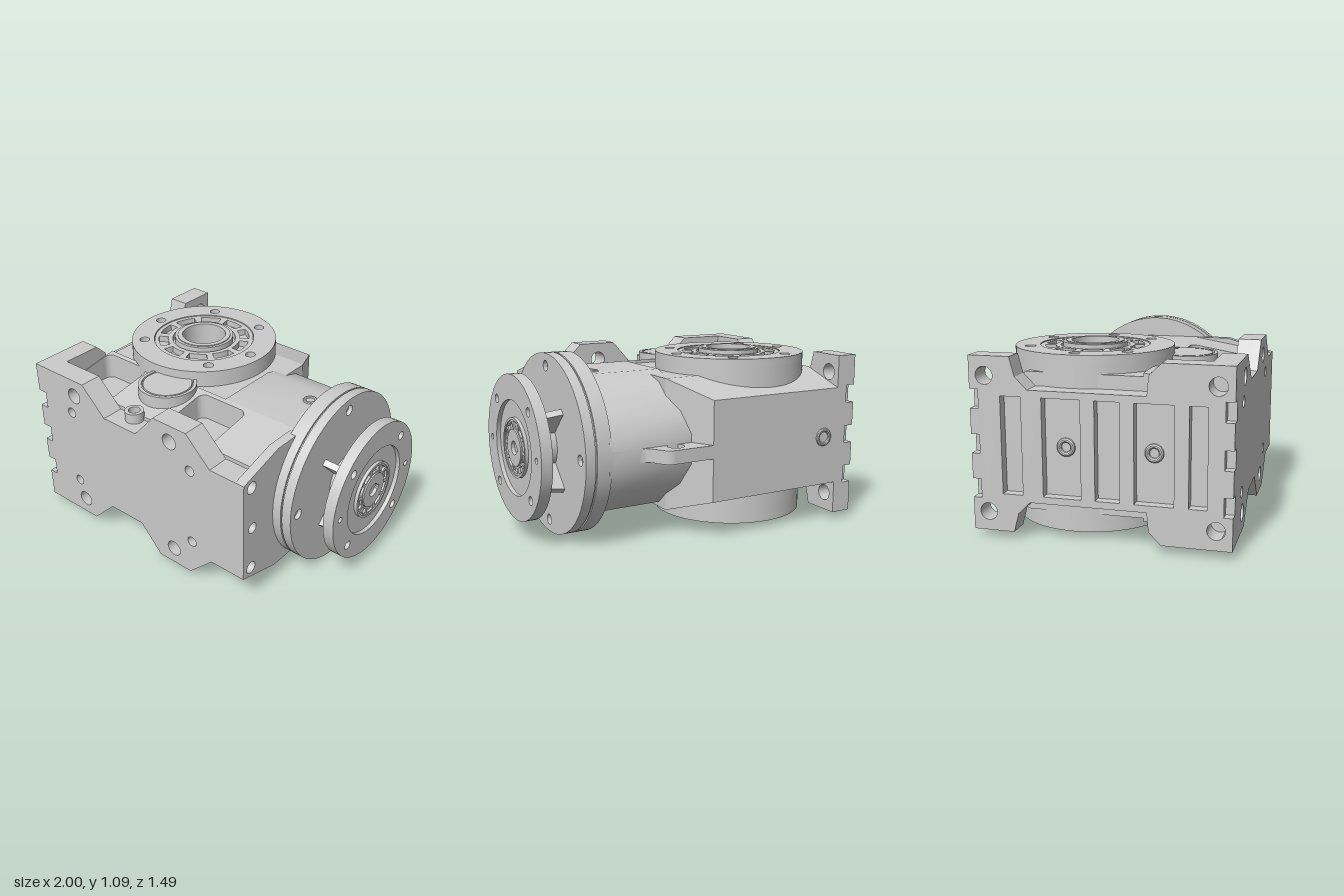
import * as THREE from 'three';
import { toCreasedNormals } from 'three/addons/utils/BufferGeometryUtils.js';

const MAT = new THREE.MeshStandardMaterial({ color: 0xcccccc });
const MID = 0.548; // height of the horizontal symmetry plane
const HUB = [-0.425, -0.19]; // x, z of the vertical bore
const AXIS_Z = -0.07; // z of the input axis

function mesh(parent, name, geo) {
  const m = new THREE.Mesh(toCreasedNormals(geo, 0.5), MAT);
  m.name = name;
  parent.add(m);
  return m;
}

// Outline helpers; circle = [u, v, radius]
const poly = (pts) => new THREE.Shape(pts.map((p) => new THREE.Vector2(p[0], p[1])));
const circle = ([u, v, r]) => new THREE.Shape().absarc(u, v, r, 0, Math.PI * 2, false);
const rect = (u0, v0, u1, v1) => poly([[u0, v0], [u1, v0], [u1, v1], [u0, v1]]);
function rounded(u0, v0, u1, v1, r) {
  const s = new THREE.Shape();
  s.absarc(u1 - r, v1 - r, r, 0, Math.PI / 2);
  s.absarc(u0 + r, v1 - r, r, Math.PI / 2, Math.PI);
  s.absarc(u0 + r, v0 + r, r, Math.PI, Math.PI * 1.5);
  s.absarc(u1 - r, v0 + r, r, Math.PI * 1.5, Math.PI * 2);
  return s;
}
const spin = (n, r, size, a0 = 0, c = [0, 0]) => Array.from({ length: n }, (_, i) => {
  const a = a0 + (i / n) * Math.PI * 2;
  return [c[0] + r * Math.cos(a), c[1] + r * Math.sin(a), size];
});
// Ring-sector windows between radii r0 and r1
const windows = (n, r0, r1, fill) => Array.from({ length: n }, (_, i) => {
  const a = (i / n) * Math.PI * 2, b = a + (fill * Math.PI * 2) / n;
  const s = new THREE.Shape();
  s.absarc(0, 0, r1, a, b, false);
  s.absarc(0, 0, r0, b, a, true);
  return s;
});

function extrude(shape, holes, from, to) {
  const s = shape.clone();
  s.holes = holes;
  const g = new THREE.ExtrudeGeometry(s, { depth: to - from, bevelEnabled: false, curveSegments: 40 });
  return g.translate(0, 0, from);
}
// Extrude along x; outline is (-z, y)
const alongX = (shape, holes, x0, x1) => extrude(shape, holes, x0, x1).rotateY(Math.PI / 2);
// Extrude along y; outline is (x, -z). The top may slope with z.
function alongY(shape, holes, y0, y1, top) {
  const g = extrude(shape, holes, y0, y1).rotateX(-Math.PI / 2);
  const p = g.attributes.position;
  if (top) for (let i = 0; i < p.count; i++) {
    const y = p.getY(i);
    if (y > (y0 + y1) / 2) p.setY(i, top(p.getZ(i)));
    else if (y0 < 0) p.setY(i, -top(p.getZ(i)));
  }
  g.computeVertexNormals();
  return g;
}
// Mirror a half outline (listed left to right, y > 0) below the plane
const mirrorY = (half) => poly([...half, ...half.map(([u, v]) => [u, -v]).reverse()]);
const both = (list) => list.flatMap(([u, v, r]) => [circle([u, v, r]), circle([u, -v, r])]);

function housing(root) {
  const bore = circle([HUB[0], -HUB[1], 0.14]);
  mesh(root, 'mainHousing', alongY(rect(-0.87, -0.22, 0.19, 0.45), [bore], -0.4, 0.4));
  mesh(root, 'rearHousing', alongY(poly([[-0.87, 0.45], [0.19, 0.45], [0.04, 0.74], [-0.87, 0.74]]), [],
    -0.4, 0.4, (z) => 0.4 + (z + 0.45) * 0.34));
  // Faceted barrel behind the input flange
  mesh(root, 'inputBarrel', alongX(mirrorY([[-0.22, 0.42], [0.2, 0.42], [0.37, 0.37], [0.54, 0.22], [0.61, 0.09]]), [], 0.1, 0.64));
  // Front strip with pockets above and below
  mesh(root, 'frontCore', alongY(rect(-0.87, -0.6, 0.6, -0.22), [], -0.25, 0.25));
  // Front plate
  const outline = mirrorY([[-0.87, 0.5], [-0.58, 0.5], [-0.41, 0.332], [-0.15, 0.332], [0, 0.5], [0.25, 0.5], [0.42, 0.332], [0.6, 0.332]]);
  mesh(root, 'frontPlate', extrude(outline, both([[-0.665, 0.39, 0.05], [0.12, 0.39, 0.05], [-0.705, 0.257, 0.033], [0.27, 0.257, 0.033]]), 0.6, 0.74));
  // Drilled pad beside the input flange
  mesh(root, 'sidePad', alongX(mirrorY([[-0.74, 0.332], [-0.44, 0.42], [-0.2, 0.42]]),
    [...both([[-0.67, 0.285, 0.038]]), circle([-0.66, 0, 0.033])], 0.6, 0.66));
  // Lifting lug
  const lug = new THREE.Shape();
  lug.moveTo(0, 0.4);
  lug.lineTo(0, 0.74);
  lug.lineTo(0.29, 0.74);
  lug.bezierCurveTo(0.38, 0.74, 0.36, 0.61, 0.45, 0.61);
  lug.lineTo(0.63, 0.61);
  lug.lineTo(0.63, 0.4);
  mesh(root, 'liftingLug', alongY(lug, [circle([0.235, 0.645, 0.05])], -0.04, 0.04));
  // Rear plug
  const plug = mesh(root, 'rearPlug', new THREE.TorusGeometry(0.045, 0.012, 10, 28));
  plug.position.set(-0.77, 0, -0.74);
}

function endWall(root) {
  const top = [[-0.74, 0.5], [-0.35, 0.5], [-0.28, 0.43], [-0.27, 0.32], [0.4, 0.32], [0.47, 0.39], [0.5, 0.5], [0.74, 0.5]];
  const feet = () => both([[-0.65, 0.39, 0.05], [0.65, 0.39, 0.05]]);
  mesh(root, 'endWall', alongX(mirrorY(top), feet(), -0.94, -0.87));
  // Outer layer with edge notches and upright channels
  const notch = (u, inner) => [0.257, 0, -0.257].flatMap((y) => [[u, y + 0.055], [inner, y + 0.055], [inner, y - 0.055], [u, y - 0.055]]);
  const pts = [...top, ...notch(0.74, 0.69), ...top.map(([u, v]) => [u, -v]).reverse(), ...notch(-0.74, -0.69).reverse()];
  const channels = [[-0.6, -0.5], [-0.42, -0.2], [-0.12, 0.02], [0.1, 0.32], [0.44, 0.56]].map(([a, b]) => rect(a, -0.28, b, 0.28));
  mesh(root, 'endFace', alongX(poly(pts), [...feet(), ...channels], -1, -0.94));
  for (const z of [-0.2, 0.3]) {
    const boss = mesh(root, 'endBoss', new THREE.TorusGeometry(0.04, 0.014, 10, 24));
    boss.rotation.y = Math.PI / 2;
    boss.position.set(-0.945, 0, z);
  }
}

// Everything that repeats above and below the symmetry plane
function upperHalf() {
  const half = new THREE.Group();
  half.name = 'coverSide';
  const slope = (z) => 0.332 + (0.74 - z) * 0.17;
  mesh(half, 'pocketRim', alongY(rect(-0.87, -0.6, 0.6, -0.22),
    [rounded(-0.865, -0.595, -0.51, -0.25, 0.05), rounded(-0.06, -0.595, 0.29, -0.25, 0.05)], 0.25, 0.4, slope));

  // Output hub
  const hub = new THREE.Group();
  hub.name = 'outputHub';
  hub.position.set(HUB[0], 0, HUB[1]);
  half.add(hub);
  const bolts = [0, 60, 120, 180, 225, 315].map((d) => {
    const a = (d * Math.PI) / 180;
    return circle([0.387 * Math.cos(a), 0.387 * Math.sin(a), 0.032]);
  });
  mesh(hub, 'hubBase', alongY(circle([0, 0, 0.47]), [circle([0, 0, 0.14])], 0.3, 0.46));
  mesh(hub, 'hubFlange', alongY(circle([0, 0, 0.47]), [circle([0, 0, 0.325]), ...bolts], 0.46, 0.505));
  mesh(hub, 'hubGrille', alongY(circle([0, 0, 0.322]), [circle([0, 0, 0.205]), ...windows(10, 0.235, 0.295, 0.75)], 0.46, 0.5));
  mesh(hub, 'hubSleeve', alongY(circle([0, 0, 0.19]), [circle([0, 0, 0.14])], 0.4, 0.522));
  mesh(hub, 'sleeveLip', alongY(circle([0, 0, 0.172]), [circle([0, 0, 0.14])], 0.5, 0.528));

  // Round cover with a fine groove
  const cap = [[0, 0.3], [0.18, 0.3], [0.18, 0.45], [0.16, 0.45], [0.158, 0.44], [0.152, 0.44], [0.15, 0.45], [0, 0.45]];
  mesh(half, 'roundCover', new THREE.LatheGeometry(cap.map((p) => new THREE.Vector2(...p)), 48)).position.set(-0.265, 0, 0.335);
  // Breather nipple
  mesh(half, 'breather', alongY(circle([-0.265, -0.625, 0.058]), [circle([-0.265, -0.625, 0.035])], 0.32, 0.395));
  // Barrel plug
  const plug = mesh(half, 'barrelPlug', new THREE.TorusGeometry(0.035, 0.01, 8, 24));
  plug.rotation.x = Math.PI / 2;
  plug.position.set(0.5, 0.42, -0.09);
  return half;
}

function inputSide(root) {
  const g = new THREE.Group();
  g.name = 'inputFlange';
  g.position.z = AXIS_Z;
  root.add(g);
  const disc = (name, r, x0, x1, holes = []) => mesh(g, name, alongX(circle([0, 0, r]), holes, x0, x1));
  const circles = (list) => list.map(circle);
  disc('rearFlange', 0.545, 0.625, 0.715);
  disc('flangeGroove', 0.535, 0.715, 0.725);
  disc('flangeBack', 0.545, 0.725, 0.76);
  disc('flangeFace', 0.545, 0.76, 0.785, circles(spin(4, 0.47, 0.032)));
  disc('neck', 0.15, 0.785, 0.935);
  // Tapered ribs around the neck
  for (let i = 0; i < 4; i++) {
    const rib = mesh(g, 'neckRib', extrude(poly([[0.785, 0.1], [0.935, 0.1], [0.935, 0.3], [0.785, 0.33]]), [], -0.02, 0.02));
    rib.rotation.x = Math.PI / 4 + (i * Math.PI) / 2;
  }
  disc('motorFlangeBack', 0.435, 0.932, 0.975);
  disc('motorFlange', 0.435, 0.975, 1, [circle([0, 0, 0.285]),
    ...circles(spin(4, 0.362, 0.027, Math.PI / 4)), ...circles(spin(2, 0.362, 0.018))]);
  disc('bearingRing', 0.18, 0.97, 0.995, [circle([0, 0, 0.165])]);
  disc('bearingGrille', 0.165, 0.97, 0.988, [circle([0, 0, 0.112]), ...windows(10, 0.122, 0.155, 0.75)]);
  // Shaft socket with a keyway
  const socket = new THREE.Shape();
  socket.absarc(0, 0, 0.042, 0.3, Math.PI * 2 - 0.3, false);
  socket.lineTo(0.056, -0.0124);
  socket.lineTo(0.056, 0.0124);
  disc('shaftSocket', 0.11, 0.97, 0.996, [socket]);
}

export function createModel() {
  const root = new THREE.Group();
  root.name = 'angleGearbox';
  const body = new THREE.Group();
  body.name = 'gearbox';
  body.position.y = MID;
  root.add(body);
  housing(body);
  endWall(body);
  inputSide(body);
  const upper = upperHalf();
  const lower = upperHalf();
  lower.scale.y = -1;
  body.add(upper, lower);
  return root;
}
